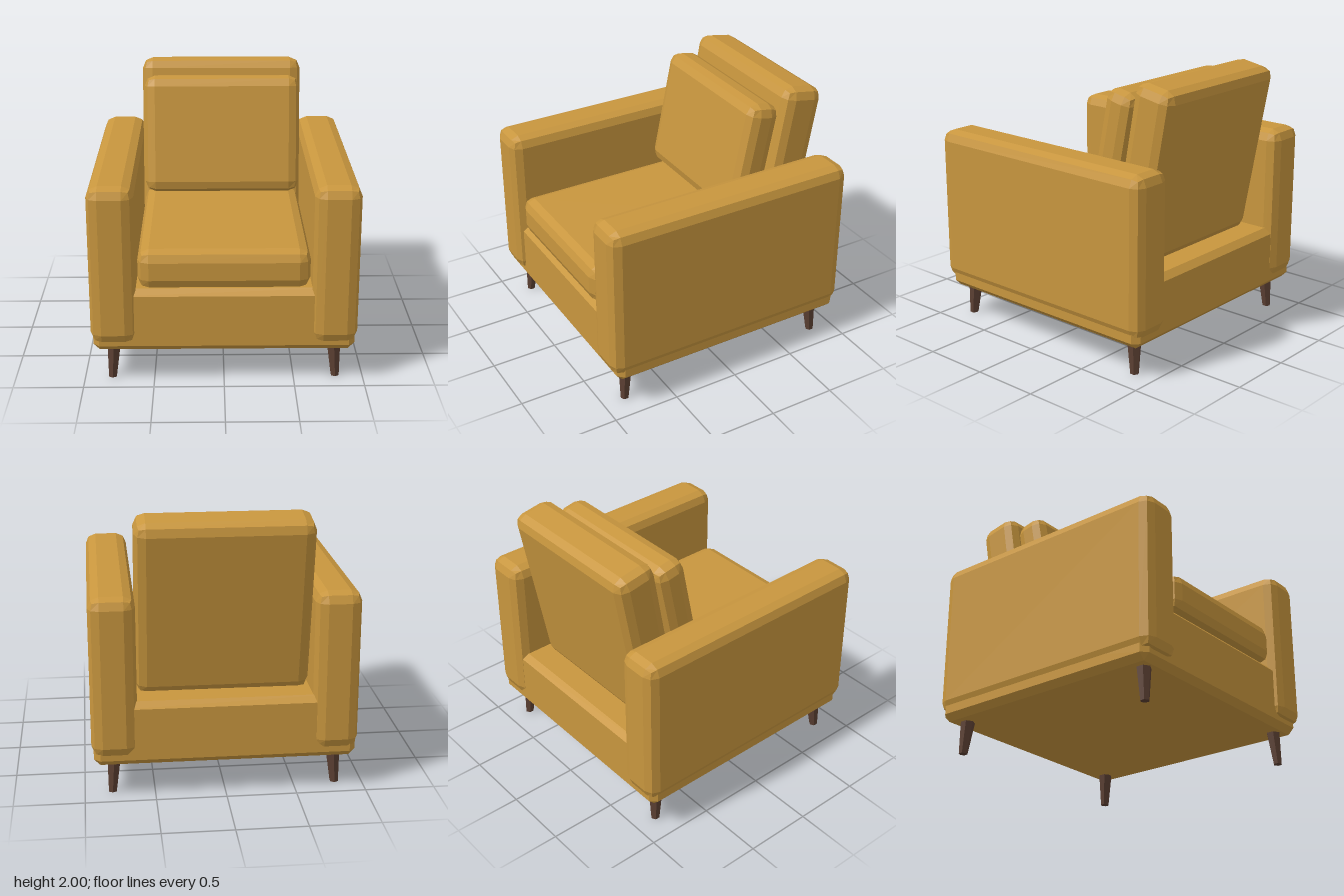
import * as THREE from 'three';
import { RoundedBoxGeometry } from 'three/addons/geometries/RoundedBoxGeometry.js';
import { ConvexGeometry } from 'three/addons/geometries/ConvexGeometry.js';

// Box with softly faceted edges
function cushionGeometry(w, h, d, radius = 0.08) {
  const g = new RoundedBoxGeometry(w, h, d, 1, radius);
  g.clearGroups();
  g.computeVertexNormals(); // non-indexed, so facets stay flat
  return g;
}

// Box with one flat chamfer along every edge
function chamferGeometry(w, h, d, c) {
  const pts = [];
  for (const sx of [-1, 1]) for (const sy of [-1, 1]) for (const sz of [-1, 1]) {
    for (let axis = 0; axis < 3; axis++) {
      const p = [w / 2, h / 2, d / 2].map((v, i) => (i === axis ? v : v - c));
      pts.push(new THREE.Vector3(sx * p[0], sy * p[1], sz * p[2]));
    }
  }
  return new ConvexGeometry(pts);
}

// Six-sided tapered leg whose foot is shifted outwards
function legGeometry(sx, sz) {
  const height = 0.27;
  const g = new THREE.CylinderGeometry(0.055, 0.032, height, 6).toNonIndexed();
  const p = g.attributes.position;
  for (let i = 0; i < p.count; i++) {
    const t = 0.5 - p.getY(i) / height; // 0 at top, 1 at the foot
    p.setX(i, p.getX(i) + sx * 0.016 * t);
    p.setZ(i, p.getZ(i) + sz * 0.018 * t);
  }
  g.translate(0, height / 2, 0);
  g.clearGroups();
  g.computeVertexNormals();
  return g;
}

export function createModel() {
  const model = new THREE.Group();
  model.name = 'armchair';

  const fabric = new THREE.MeshStandardMaterial({ color: 0xc8963e });
  fabric.name = 'mustard fabric';
  const wood = new THREE.MeshStandardMaterial({ color: 0x5c4033 });
  wood.name = 'dark wood';

  const add = (name, geometry, material, x, y, z, tilt = 0) => {
    const mesh = new THREE.Mesh(geometry, material);
    mesh.name = name;
    mesh.position.set(x, y, z);
    mesh.rotation.x = tilt;
    model.add(mesh);
    return mesh;
  };

  // Base frame
  add('base', chamferGeometry(1.86, 0.47, 1.87, 0.045), fabric, 0, 0.475, -0.01);

  // Arms
  for (const [side, sx] of [['left', 1], ['right', -1]]) {
    add(side + 'Arm', cushionGeometry(0.325, 1.165, 1.94), fabric, sx * 0.7825, 0.8875, 0);
  }

  // Seat cushion
  add('seatCushion', cushionGeometry(1.21, 0.29, 1.49), fabric, 0, 0.855, 0.195);

  // Backrest and loose cushion, both leaning back
  add('backrest', cushionGeometry(1.24, 1.306, 0.322), fabric, 0, 1.342, -0.683, -0.18);
  add('backCushion', cushionGeometry(1.19, 0.897, 0.25), fabric, 0, 1.47, -0.398, -0.2);

  // Legs
  for (const [end, sz] of [['front', 1], ['back', -1]]) {
    for (const [side, sx] of [['Left', 1], ['Right', -1]]) {
      add(end + side + 'Leg', legGeometry(sx, sz), wood, sx * 0.787, 0, sz * 0.805);
    }
  }

  return model;
}
